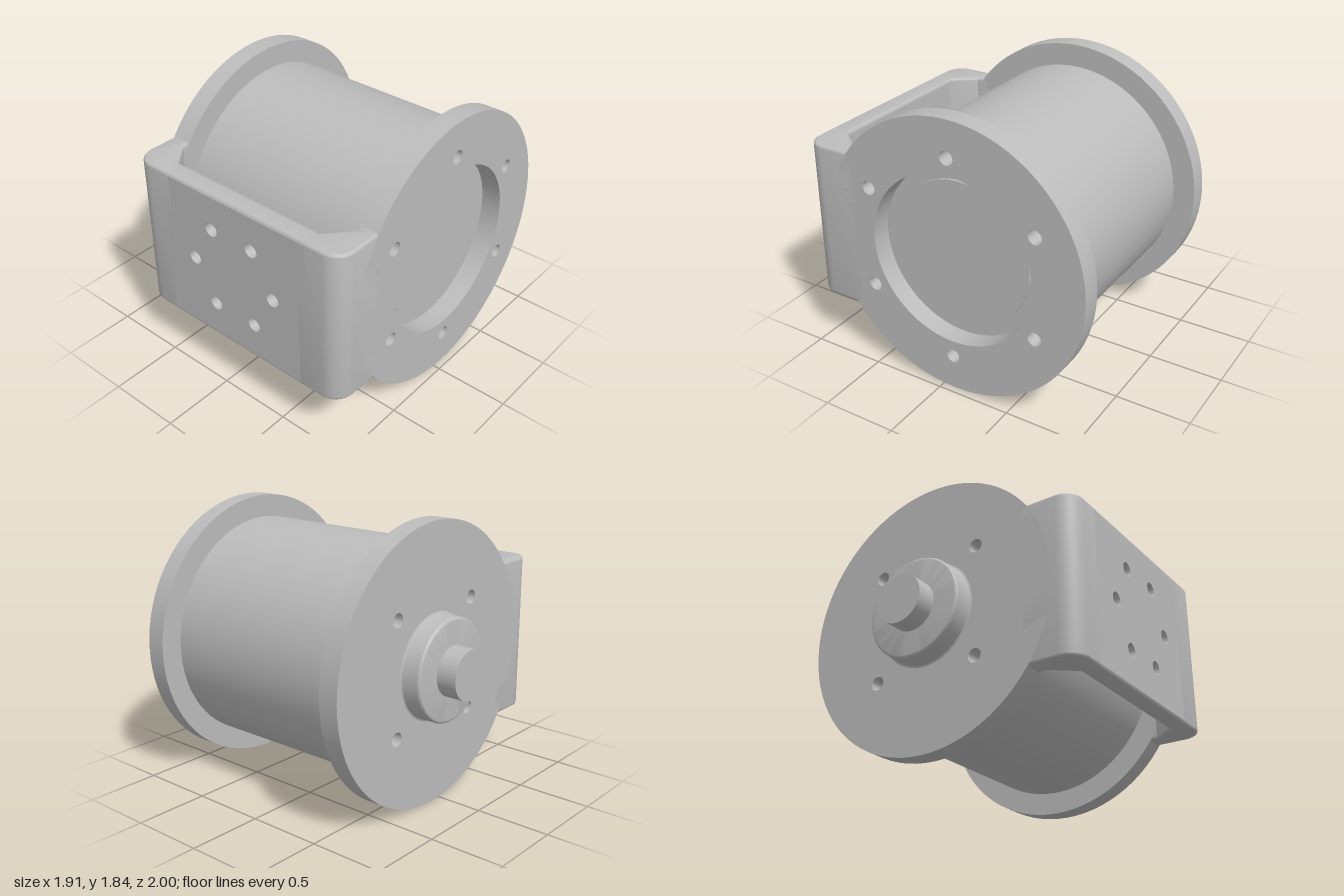
import * as THREE from 'three';
import { toCreasedNormals } from 'three/addons/utils/BufferGeometryUtils.js';

const CY = 0.92, CZ = -0.08;          // drum axis
const LEFT = 0.955, RIGHT = -0.69;    // outer faces of the two flanges
const T = 0.135;                      // plate thickness
const BOTTOM = 0.385, TOP = 1.455;    // bracket height
const R = 0.02;                       // small edge rounding

const metal = new THREE.MeshStandardMaterial({ color: 0xbcbcbc });
metal.name = 'plain grey metal';

function part(name, geometry) {
  const mesh = new THREE.Mesh(toCreasedNormals(geometry, 0.6), metal);
  mesh.name = name;
  return mesh;
}

function circle(shapeType, x, y, r) {
  const c = new shapeType();
  c.absarc(x, y, r, 0, Math.PI * 2, false);
  return c;
}

// points of a quarter circle around (x, y)
function quarter(x, y, r, start, n = 6) {
  return Array.from({ length: n + 1 }, (_, i) => {
    const a = start + (i / n) * Math.PI / 2;
    return [x + r * Math.cos(a), y + r * Math.sin(a)];
  });
}

const toShape = (pts) => new THREE.Shape(pts.map(([x, y]) => new THREE.Vector2(x, y)));

// disc plate facing along x, with round holes given as [x, y, radius]
function flange(name, x0, holes) {
  const shape = circle(THREE.Shape, 0, 0, 0.92);
  holes.forEach(([x, y, r]) => shape.holes.push(circle(THREE.Path, x, y, r)));
  const geo = new THREE.ExtrudeGeometry(shape, { depth: T, bevelEnabled: false, curveSegments: 40 });
  geo.rotateY(Math.PI / 2).translate(x0, CY, CZ);
  return part(name, geo);
}

// solid of revolution on the drum axis, running from x0 towards -x
function turned(name, x0, profile) {
  const geo = new THREE.LatheGeometry(profile.map(([r, h]) => new THREE.Vector2(r, h)), 80);
  geo.rotateZ(Math.PI / 2).translate(x0, CY, CZ);
  return part(name, geo);
}

const boltRing = (n, radius, r, start) => Array.from({ length: n }, (_, i) => {
  const a = start + (i / n) * Math.PI * 2;
  return [radius * Math.cos(a), radius * Math.sin(a), r];
});

export function createModel() {
  const model = new THREE.Group();
  model.name = 'bracketedDrum';

  // drum body and the raised disc at the bottom of the left recess
  model.add(turned('drum', LEFT - T, [[0, 0], [0.77, 0], [0.77, 1.375], [0, 1.375]]));
  model.add(turned('recessDisc', LEFT - T + 0.02, [[0, 0], [0.485, 0], [0.485, 0.03]]));

  // flanges: one with a wide recess and six bolt holes, one with four bolt holes
  model.add(flange('leftFlange', LEFT - T, [[0, 0, 0.57], ...boltRing(6, 0.68, 0.046, Math.PI / 2)]));
  model.add(flange('rightFlange', RIGHT, boltRing(4, 0.53, 0.046, Math.PI / 4)));

  // boss and shaft on the right
  model.add(turned('boss', RIGHT, [
    [0.352, 0], [0.341, 0.005], [0.337, 0.016],
    ...quarter(0.317, 0.115, R, 0), [0, T],
  ]));
  model.add(turned('shaft', RIGHT - T, [[0.163, 0], [0.163, T], [0, T]]));

  // bracket corners: arm, chamfered inside, rounded outside
  const bracket = new THREE.Group();
  bracket.name = 'bracket';
  const mid = (LEFT + RIGHT) / 2, half = (LEFT - RIGHT) / 2;
  const outline = [
    [half, 0.64], ...quarter(half - 0.13, 0.87, 0.13, 0, 12),
    [half - 0.3, 1], [half - 0.3, 0.865], [half - 0.255, 0.865],
    [half - T, 0.72], [half - T, 0.64],
  ];
  for (const [side, name] of [[1, 'leftArm'], [-1, 'rightArm']]) {
    const geo = new THREE.ExtrudeGeometry(toShape(outline.map(([u, z]) => [mid + side * u, z])), {
      depth: TOP - BOTTOM - 2 * R, bevelEnabled: true, bevelThickness: R,
      bevelSize: R, bevelOffset: -R, bevelSegments: 4,
    });
    geo.rotateX(Math.PI / 2).translate(0, TOP - R, 0);
    bracket.add(part(name, geo));
  }

  // front plate with a ring of six bolt holes
  const x0 = mid - half + 0.255, x1 = mid + half - 0.255;
  const plate = toShape([[x0, BOTTOM + R], [x1, BOTTOM + R], [x1, TOP - R], [x0, TOP - R]]);
  boltRing(6, 0.324, 0.047, 0).forEach(([x, y, r]) =>
    plate.holes.push(circle(THREE.Path, 0.122 + x, CY + y, r)));
  const plateGeo = new THREE.ExtrudeGeometry(plate, { depth: T, bevelEnabled: false, curveSegments: 16 });
  bracket.add(part('frontPlate', plateGeo.translate(0, 0, 1 - T)));

  // rounded top and bottom edges of the front plate
  const edge = [[-1, 0], ...quarter(-0.865 - R, 0, R, 0), ...quarter(-1 + R, 0, R, Math.PI / 2)];
  for (const [y, s, name] of [[TOP - R, 1, 'plateTopEdge'], [BOTTOM + R, -1, 'plateBottomEdge']]) {
    const geo = new THREE.ExtrudeGeometry(toShape(edge.slice(1).map(([z, h]) => [z, y + s * h])),
      { depth: x1 - x0, bevelEnabled: false });
    geo.rotateY(Math.PI / 2).translate(x0, 0, 0);
    bracket.add(part(name, geo));
  }
  model.add(bracket);
  return model;
}
